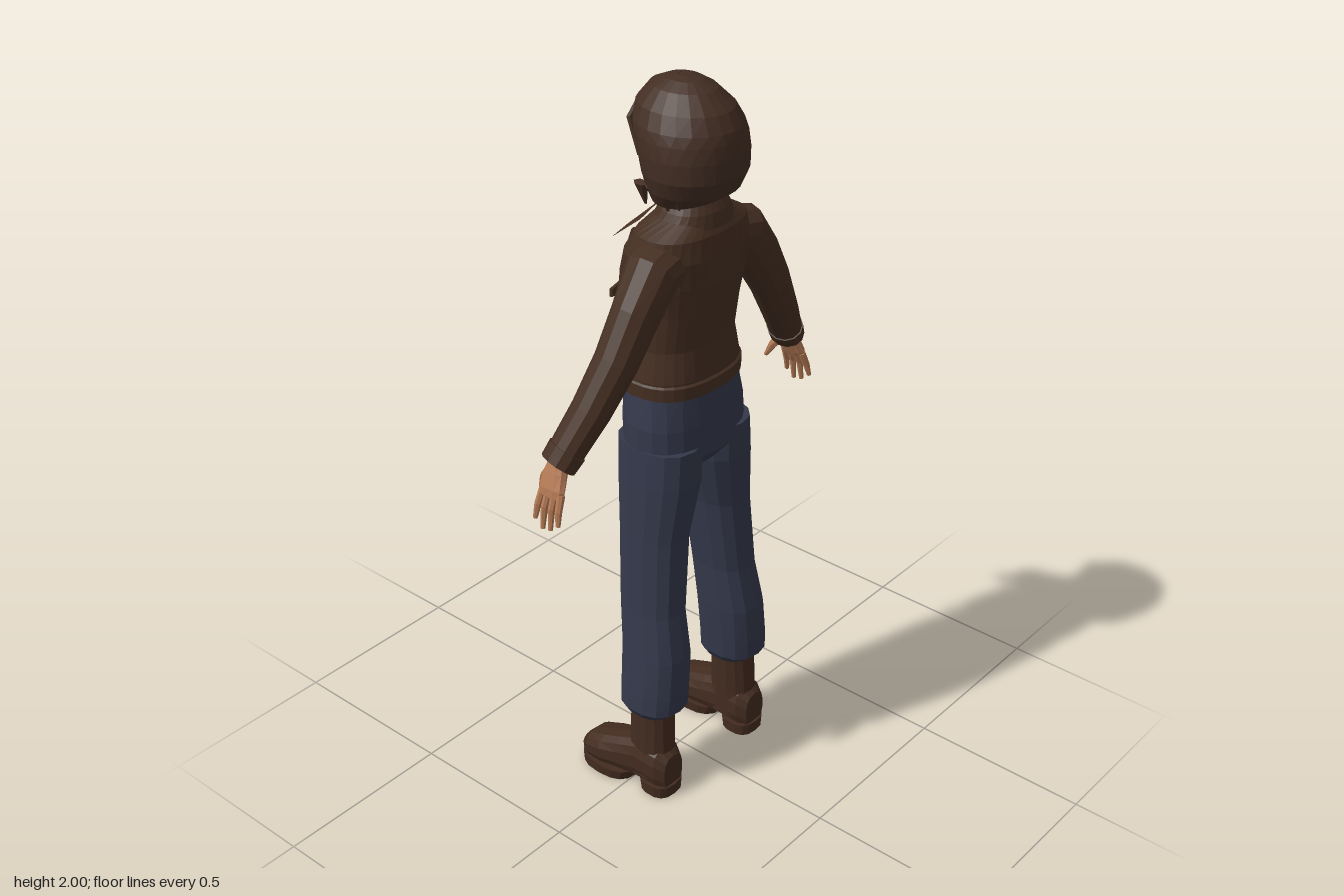
import * as THREE from 'three';

const V = (x, y, z) => new THREE.Vector3(x, y, z);
const mat = (name, color) => new THREE.MeshStandardMaterial({ name, color, flatShading: true, side: THREE.DoubleSide });

// Skin over elliptical sections [x, y, z, ru, rv, gap]; gap is the half width of a slit at the front.
// axis: fixed section normal (otherwise it follows the path); ref: direction of rv; p < 1 squares the outline.
function loft(list, { n = 14, p = 1, axis = null, ref = V(0, 0, 1), cap = true } = {}) {
  const s = cap ? [list[0], ...list, list[list.length - 1]] : list;
  const pos = [], idx = [];
  const pow = (v) => Math.sign(v) * Math.abs(v) ** p;
  s.forEach((c, i) => {
    const a = s[Math.max(i - 1, 0)], b = s[Math.min(i + 1, s.length - 1)];
    const d = axis ? axis.clone() : V(b[0] - a[0], b[1] - a[1], b[2] - a[2]).normalize();
    const v = ref.clone().addScaledVector(d, -ref.dot(d)).normalize();
    const u = d.clone().cross(v);
    const k = cap && (i === 0 || i === s.length - 1) ? 0 : 1;
    const t0 = c[5] ? Math.asin(Math.min(1, c[5] / c[3]) ** (1 / p)) : 0;
    for (let j = 0; j <= n; j++) {
      const t = t0 + (2 * Math.PI - 2 * t0) * j / n;
      const q = V(c[0], c[1], c[2]).addScaledVector(u, k * c[3] * pow(Math.sin(t))).addScaledVector(v, -k * c[4] * pow(Math.cos(t)));
      pos.push(q.x, q.y, q.z);
      if (i && j < n) {
        const l = (i - 1) * (n + 1) + j, h = l + n + 1;
        idx.push(l, h, l + 1, l + 1, h, h + 1);
      }
    }
  });
  const g = new THREE.BufferGeometry();
  g.setAttribute('position', new THREE.Float32BufferAttribute(pos, 3));
  g.setIndex(idx);
  g.computeVertexNormals();
  return g;
}

// Four-cornered panel
function panel(pts) {
  const g = new THREE.BufferGeometry();
  g.setAttribute('position', new THREE.Float32BufferAttribute(pts.flat(), 3));
  g.setIndex([0, 1, 2, 0, 2, 3]);
  g.computeVertexNormals();
  return g;
}

export function createModel() {
  const root = new THREE.Group();
  const hairMat = mat('hair brown', 0x432e23), leather = mat('jacket brown', 0x452f22), bootMat = mat('boot brown', 0x432c20);
  const denim = mat('trouser navy', 0x34384a), shirtMat = mat('shirt navy', 0x2f3442), skin = mat('skin', 0xb47a55);
  const dark = mat('dark features', 0x2b1c16), lipMat = mat('lips', 0x8d5140);
  const Y = V(0, 1, 0);
  const add = (name, geo, m, parent = root) => {
    const mesh = new THREE.Mesh(geo, m);
    mesh.name = name;
    parent.add(mesh);
    return mesh;
  };
  // Upright section from y, half width and the front and back limits in z
  const up = (y, rx, front, back, gap = 0, x = 0) => [x, y, (front + back) / 2, rx, (back - front) / 2, gap];

  // Trousers
  add('trouserHips', loft([up(0.985, 0.1, -0.06, 0.1), up(1.03, 0.182, -0.1, 0.134), up(1.12, 0.18, -0.105, 0.128),
    up(1.23, 0.16, -0.113, 0.115)], { axis: Y, p: 0.85, n: 20 }), denim);
  add('fly', new THREE.BoxGeometry(0.03, 0.11, 0.006).translate(0, 1.14, -0.11), denim);

  // Shirt
  add('shirt', loft([up(1.19, 0.15, -0.118, 0.1), up(1.3, 0.14, -0.117, 0.1), up(1.44, 0.145, -0.122, 0.11),
    up(1.53, 0.145, -0.105, 0.12), up(1.59, 0.13, -0.078, 0.12), up(1.63, 0.09, -0.052, 0.11)], { axis: Y, p: 0.85, n: 20 }), shirtMat);

  // Jacket body, open at the front
  add('jacketBody', loft([up(1.205, 0.164, -0.128, 0.122, 0.06), up(1.25, 0.166, -0.13, 0.124, 0.06), up(1.33, 0.153, -0.13, 0.114, 0.062),
    up(1.43, 0.155, -0.134, 0.13, 0.064), up(1.51, 0.166, -0.12, 0.142, 0.066), up(1.58, 0.176, -0.095, 0.144, 0.068),
    up(1.635, 0.16, -0.062, 0.135, 0.068), up(1.67, 0.095, -0.035, 0.118, 0.06), up(1.69, 0.07, -0.02, 0.105, 0.05)],
  { axis: Y, p: 0.82, n: 28, cap: false }), leather);
  add('jacketHem', loft([up(1.205, 0.165, -0.132, 0.124, 0.058), up(1.205, 0.17, -0.135, 0.129, 0.058),
    up(1.24, 0.171, -0.136, 0.13, 0.058), up(1.245, 0.165, -0.13, 0.124, 0.058)], { axis: Y, p: 0.82, n: 28, cap: false }), leather);
  add('collar', loft([up(1.648, 0.112, -0.05, 0.132, 0.075), up(1.685, 0.092, -0.035, 0.125, 0.07), up(1.715, 0.072, -0.015, 0.11, 0.055),
    up(1.685, 0.064, -0.015, 0.1, 0.055)], { axis: Y, p: 0.9, n: 20, cap: false }), leather);

  // Neck and upper chest
  add('neck', loft([up(1.56, 0.08, -0.06, 0.06), up(1.62, 0.072, -0.05, 0.085), up(1.66, 0.056, -0.015, 0.09),
    up(1.77, 0.05, -0.012, 0.085)], { axis: Y }), skin);

  // Head with nose, lips, eyes and brows
  add('head', loft([up(1.695, 0.028, -0.078, -0.01), up(1.712, 0.05, -0.088, 0.04), up(1.75, 0.07, -0.088, 0.08), up(1.79, 0.08, -0.086, 0.11),
    up(1.83, 0.084, -0.083, 0.12), up(1.88, 0.084, -0.086, 0.12), up(1.94, 0.065, -0.065, 0.09)], { axis: Y, p: 0.9, n: 18 }), skin);
  add('nose', loft([up(1.772, 0.014, -0.097, -0.07), up(1.784, 0.016, -0.109, -0.07), up(1.805, 0.009, -0.097, -0.07),
    up(1.83, 0.006, -0.088, -0.07)], { axis: Y, n: 8 }), skin);
  add('mouth', new THREE.BoxGeometry(0.04, 0.011, 0.008).translate(0, 1.746, -0.087), lipMat);

  // Bobbed hair, parted around the face
  add('hairBob', loft([up(1.7, 0.1, -0.05, 0.105, 0.088), up(1.735, 0.122, -0.066, 0.155, 0.087), up(1.78, 0.138, -0.075, 0.174, 0.087),
    up(1.83, 0.14, -0.088, 0.176, 0.082), up(1.87, 0.135, -0.104, 0.173, 0.055), up(1.895, 0.128, -0.11, 0.167), up(1.935, 0.108, -0.107, 0.145),
    up(1.975, 0.07, -0.075, 0.1), up(1.993, 0.04, -0.035, 0.065), up(2, 0.015, 0, 0.035)], { axis: Y, n: 22, cap: false }), hairMat);
  add('hairCrown', new THREE.CircleGeometry(0.017, 10).rotateX(-Math.PI / 2).translate(0, 2, 0.0175), hairMat);
  add('hairNape', loft([up(1.715, 0.07, 0.055, 0.115), up(1.75, 0.1, 0.03, 0.155)], { axis: Y }), hairMat);

  // Fringe locks: root x, tip x, tip height
  [[0.02, 0.03, 1.835], [0.03, 0.055, 1.82], [0.04, 0.08, 1.79], [0, -0.01, 1.855], [-0.02, -0.045, 1.84], [-0.035, -0.075, 1.8]].forEach(([a, b, y]) => {
    const curve = 0.035 * (b / 0.08) ** 2;
    add('fringeLock', loft([[a, 1.915, -0.09, 0.02, 0.01], [(a + b) / 2, 1.88, -0.1, 0.02, 0.011],
      [b, y, -0.095 + curve, 0.004, 0.004]], { n: 6 }), hairMat);
  });

  for (const s of [1, -1]) {
    const side = s > 0 ? 'left' : 'right';
    const at = (list) => list.map(([x, ...rest]) => [s * x, ...rest]);

    // Face details
    add(side + 'Eye', new THREE.BoxGeometry(0.028, 0.01, 0.008).translate(s * 0.034, 1.815, -0.081), dark);
    add(side + 'Brow', new THREE.BoxGeometry(0.036, 0.007, 0.008).translate(s * 0.035, 1.838, -0.082), dark);
    // Tips of the side hair
    for (let i = 0; i < 4; i++) {
      const z = -0.03 + i * 0.035;
      add(side + 'HairTip', loft(at([[0.108, 1.75, z, 0.012, 0.022], [0.09, 1.69 + (i % 2) * 0.012, z, 0.003, 0.004]]), { n: 6 }), hairMat);
    }

    // Collar wing, front placket and chest pocket flap
    add(side + 'CollarWing', panel(at([[0.058, 1.7, -0.005], [0.112, 1.655, -0.03], [0.118, 1.585, -0.118], [0.06, 1.6, -0.118]])), leather);
    add(side + 'Placket', loft(at([[0.064, 1.21, -0.128, 0.011, 0.006], [0.066, 1.33, -0.127, 0.011, 0.006],
      [0.068, 1.44, -0.13, 0.011, 0.006], [0.07, 1.52, -0.115, 0.011, 0.006], [0.07, 1.6, -0.085, 0.011, 0.006]]), { n: 6 }), leather);
    add(side + 'PocketFlap', new THREE.BoxGeometry(0.05, 0.022, 0.008).rotateY(s * -0.25).translate(s * 0.106, 1.44, -0.118), leather);

    // Sleeve with cuff
    add(side + 'Sleeve', loft(at([[0.1, 1.575, 0.045, 0.066, 0.075], [0.165, 1.56, 0.055, 0.07, 0.07], [0.23, 1.473, 0.057, 0.064, 0.06],
      [0.295, 1.372, 0.052, 0.056, 0.056], [0.365, 1.262, 0.032, 0.05, 0.051], [0.43, 1.165, 0.006, 0.043, 0.047],
      [0.448, 1.138, -0.002, 0.039, 0.046]]), { n: 12 }), leather);
    add(side + 'Cuff', loft(at([[0.425, 1.172, 0.008, 0.047, 0.051], [0.449, 1.137, -0.002, 0.043, 0.049]]), { n: 12 }), leather);

    // Hand
    const hand = new THREE.Group();
    hand.name = side + 'Hand';
    root.add(hand);
    add('palm', loft(at([[0.44, 1.155, 0, 0.021, 0.025], [0.458, 1.118, -0.002, 0.019, 0.034], [0.475, 1.08, 0, 0.016, 0.04],
      [0.481, 1.062, 0, 0.012, 0.036]]), { n: 10, p: 0.85 }), skin, hand);
    [[-0.028, 0.995], [-0.009, 0.975], [0.011, 0.98], [0.031, 1.0]].forEach(([z, y]) => add('finger',
      loft(at([[0.476, 1.075, z, 0.011, 0.01], [0.492, 1.035, z * 1.15, 0.01, 0.009], [0.5, y, z * 1.3, 0.006, 0.006]]), { n: 7 }), skin, hand));
    add('thumb', loft(at([[0.455, 1.118, -0.022, 0.013, 0.014], [0.449, 1.085, -0.05, 0.011, 0.012], [0.443, 1.05, -0.068, 0.006, 0.006]]), { n: 7 }), skin, hand);

    // Trouser leg gathered above the boot
    add(side + 'TrouserLeg', loft(at([up(0.262, 0.066, -0.03, 0.12, 0, 0.168), up(0.285, 0.08, -0.04, 0.144, 0, 0.168),
      up(0.34, 0.08, -0.041, 0.147, 0, 0.165), up(0.45, 0.077, -0.046, 0.146, 0, 0.155), up(0.58, 0.071, -0.06, 0.122, 0, 0.146),
      up(0.8, 0.076, -0.076, 0.115, 0, 0.125), up(0.96, 0.091, -0.095, 0.13, 0, 0.1), up(1.06, 0.088, -0.098, 0.13, 0, 0.095)]),
    { axis: Y, p: 0.85, n: 14 }), denim);

    // Boot: shaft, foot, front sole and heel
    const boot = new THREE.Group();
    boot.name = side + 'Boot';
    root.add(boot);
    add('shaft', loft(at([up(0.05, 0.054, -0.03, 0.128, 0, 0.178), up(0.14, 0.052, -0.015, 0.117, 0, 0.175),
      up(0.29, 0.054, -0.01, 0.112, 0, 0.17)]), { axis: Y, n: 14, p: 0.9 }), bootMat, boot);
    add('foot', loft(at([[0.178, 0.075, 0.128, 0.038, 0.055], [0.178, 0.085, 0.1, 0.054, 0.068], [0.18, 0.09, 0.03, 0.056, 0.072],
      [0.183, 0.078, -0.03, 0.06, 0.06], [0.187, 0.066, -0.09, 0.063, 0.05], [0.189, 0.056, -0.14, 0.055, 0.042],
      [0.19, 0.043, -0.168, 0.032, 0.026]]), { axis: V(0, 0, -1), ref: Y, n: 14, p: 0.8 }), bootMat, boot);
    add('sole', loft(at([up(0, 0.063, -0.172, 0, 0, 0.188), up(0.03, 0.065, -0.175, 0.01, 0, 0.188)]), { axis: Y, n: 16, p: 0.8 }), bootMat, boot);
    add('heel', loft(at([up(0, 0.052, 0.035, 0.134, 0, 0.178), up(0.035, 0.054, 0.03, 0.136, 0, 0.178)]), { axis: Y, n: 14, p: 0.75 }), bootMat, boot);
  }
  return root;
}
